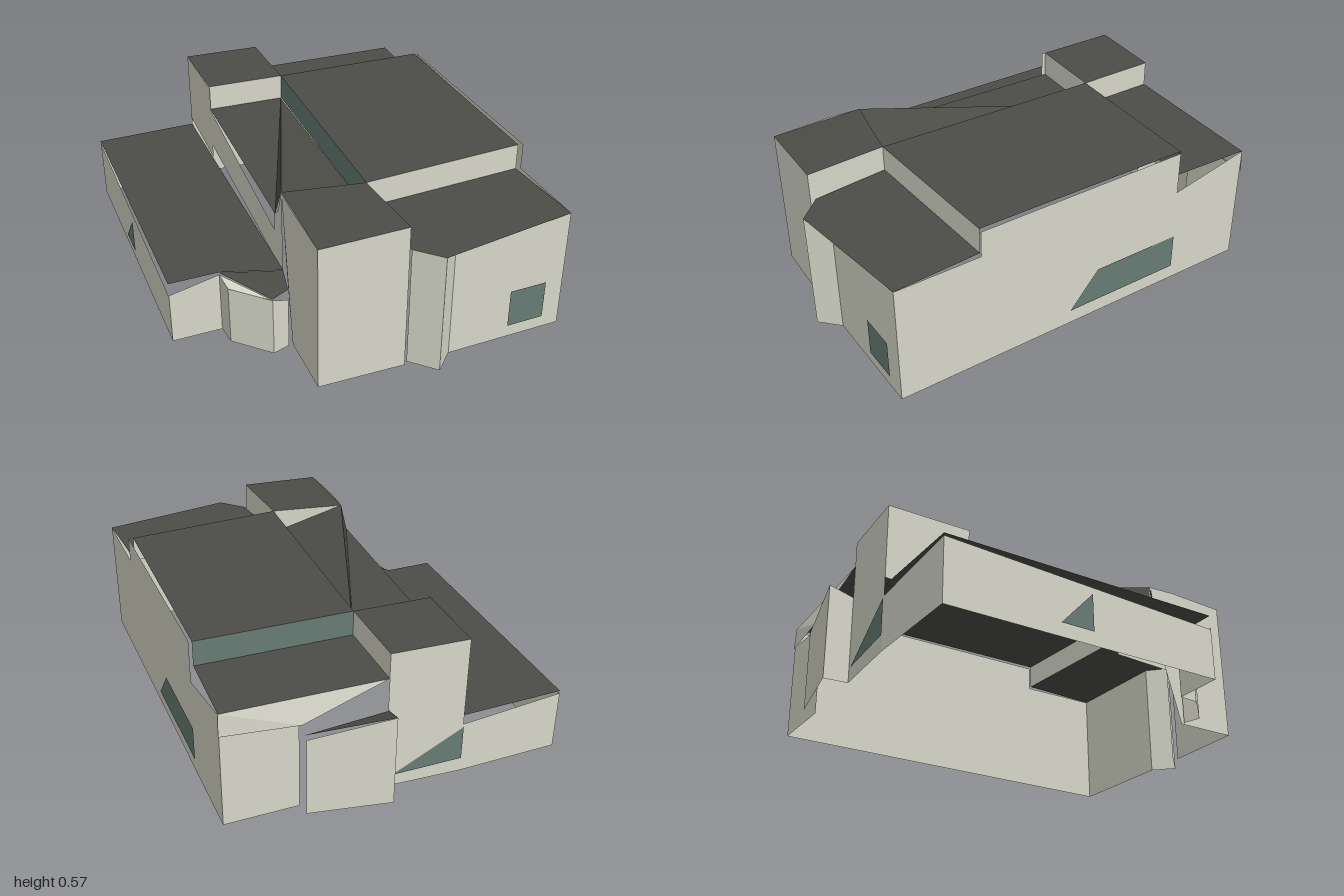
import * as THREE from 'three';

export function createModel() {
  const house = new THREE.Group();
  house.name = 'house';
  const material = (name, color) => {
    const m = new THREE.MeshStandardMaterial({ color, side: THREE.DoubleSide });
    m.name = name;
    return m;
  };
  const wallMat = material('pale wall', 0xd6d7c8);
  const roofMat = material('dark roof', 0x4c4c47);
  const glassMat = material('green glass', 0x687b74);

  const add = (name, geometry, mat) => {
    const mesh = new THREE.Mesh(geometry, mat);
    mesh.name = name;
    house.add(mesh);
  };

  // Upright panel between plan points a and b; outline is [fraction along, height]
  const panel = (name, a, b, outline, mat = wallMat, offset = 0, holes = []) => {
    const toPoints = (list) => list.map(([t, y]) => new THREE.Vector2(t, y));
    const shape = new THREE.Shape(toPoints(outline));
    holes.forEach((h) => shape.holes.push(new THREE.Path(toPoints(h))));
    const g = new THREE.ShapeGeometry(shape);
    const dx = b[0] - a[0], dz = b[1] - a[1], len = Math.hypot(dx, dz);
    const p = g.attributes.position;
    for (let i = 0; i < p.count; i++) {
      const t = p.getX(i);
      p.setXYZ(i, a[0] + dx * t - (dz / len) * offset, p.getY(i), a[1] + dz * t + (dx / len) * offset);
    }
    g.computeVertexNormals();
    add(name, g, mat);
  };
  const band = (name, a, b, y0, y1, mat, y2 = y1) =>
    panel(name, a, b, [[0, y0], [1, y0], [1, y2], [0, y1]], mat);

  // Convex face through 3D corners
  const face = (name, corners, mat = roofMat) => {
    const pos = [];
    for (let i = 1; i < corners.length - 1; i++) pos.push(...corners[0], ...corners[i + 1], ...corners[i]);
    const g = new THREE.BufferGeometry();
    g.setAttribute('position', new THREE.Float32BufferAttribute(pos, 3));
    g.computeVertexNormals();
    add(name, g, mat);
  };
  const flat = (name, y, plan) => face(name, plan.map(([x, z]) => [x, y, z]));

  const HIGH = 0.57, MID = 0.47, LOW = 0.25;
  // Plan corners
  const west = [-1, 0.07], south = [-0.23, 0.84], north = [-0.06, -0.84], east = [1, 0.2];
  const cubeW = [-0.72, -0.22], cubeS = [-0.5, 0], cubeE = [-0.28, -0.205], cubeN = [-0.5, -0.42];
  const stepN = [0.15, -0.62], stepE = [0.75, -0.02], hub = [0.34, 0.44];
  const towerW = [0.1, 0.61], towerS = [0.34, 0.86], towerE = [0.57, 0.64];
  const bayA = [0.57, 0.62], bayB = [0.69, 0.62], bayC = [0.69, 0.52];
  const porchA = [-0.1, 0.71], porchB = [-0.04, 0.76], porchC = [0.13, 0.76], porchD = [0.16, 0.7];

  // Roofs
  flat('mainRoof', HIGH, [stepN, stepE, hub, cubeE]);
  flat('cubeRoof', HIGH, [cubeW, cubeN, cubeE, cubeS]);
  face('towerRoof', [[0.1, HIGH, 0.61], [0.34, HIGH, 0.44], [0.57, HIGH, 0.64], [0.34, 0.56, 0.86]]);
  flat('backRoof', MID, [north, stepN, cubeE, cubeN]);
  flat('sideRoof', MID, [hub, stepE, east, bayB, bayA]);
  flat('wingRoof', LOW, [west, cubeW, towerW, porchA, south]);

  // Folded valley roof with a raised ridge
  flat('valleyRoof', MID, [cubeS, cubeE, [0.07, 0.6]]);
  face('valleyRidge', [[-0.28, MID, -0.2], [0.1, HIGH, 0.61], [0.07, MID, 0.6]]);
  face('valleySlope', [[-0.28, MID, -0.2], [0.34, MID, 0.44], [0.1, HIGH, 0.61]]);

  // Clerestory glass and short walls where roof levels change
  band('clerestoryFront', cubeE, hub, MID, HIGH, glassMat);
  band('clerestoryBack', cubeE, stepN, MID, HIGH, glassMat);
  band('roofStepWall', hub, stepE, MID, HIGH, wallMat);
  band('cubeFrontWall', cubeS, cubeE, MID, HIGH, wallMat);
  band('cubeInnerWall', cubeN, cubeE, MID, HIGH, wallMat);

  // Long outer wall with stepped top
  panel('longWall', east, north, [[0, 0], [1, 0], [1, MID], [0.79, 0.4], [0.79, HIGH], [0.22, HIGH], [0.22, MID], [0, MID]]);
  panel('longWindow', east, north, [[0.47, 0.06], [0.79, 0.06], [0.79, 0.2], [0.55, 0.2]], glassMat, 0.004);

  // Back walls and wedge
  const backMid = [-0.28, -0.65], wedge = [-0.56, -0.49];
  band('backWall', north, [-0.26, -0.64], 0, 0.39, wallMat, 0.37);
  face('backUpperWall', [[-0.06, MID, -0.84], [-0.06, 0.38, -0.845], [-0.28, 0.37, -0.66], [-0.5, MID, -0.42]], wallMat);
  band('wedgeWall', [-0.3, -0.67], wedge, 0, 0.32, wallMat, 0.37);
  band('wedgeSide', wedge, cubeN, 0, 0.37, wallMat, 0.34);
  face('wedgeRoof', [[backMid[0], 0.32, backMid[1]], [-0.56, 0.37, -0.49], [-0.5, 0.335, -0.42]]);
  band('cubeBackWall', cubeN, cubeW, 0, HIGH, wallMat);
  panel('cubeBackWindow', cubeN, cubeW, [[0.08, 0.05], [1, 0.06], [1, 0.2]], glassMat, 0.004);

  // Wall above the low wing: solid at the cube, then a sloping band and pillar
  panel('upperWingWall', cubeW, towerW, [
    [0, 0.28], [0.28, 0.255], [0.28, 0.31], [1, 0.24], [1, HIGH], [0.965, MID],
    [0.93, 0.44], [0.93, 0.37], [0.28, MID], [0.28, HIGH], [0, HIGH]]);

  // Low wing
  band('wingFrontWall', west, south, 0, 0.24, wallMat, 0.195);
  panel('wingWindow', west, south, [[0.4, 0.05], [0.52, 0.05], [0.52, 0.19]], glassMat, 0.004);
  band('wingBackWall', west, cubeW, 0, 0.24, wallMat, 0.21);
  band('wingEndWall', south, porchA, 0, 0.2, wallMat, 0.24);

  // Small porch
  band('porchLeftWall', porchA, porchB, 0, 0.24, wallMat, 0.23);
  band('porchFrontWall', porchB, porchC, 0, 0.23, wallMat);
  band('porchRightWall', porchC, porchD, 0, 0.23, wallMat, 0.2);
  face('porchSill', [[-0.1, 0.24, 0.71], [0.13, 0.232, 0.76], [-0.04, 0.225, 0.76]], wallMat);
  face('porchRoof', [[-0.1, 0.248, 0.71], [0.13, 0.235, 0.76], [0.16, 0.245, 0.7], [0.1, 0.248, 0.61]]);

  // Front tower
  band('towerLeftWall', [0.17, 0.69], towerS, 0, HIGH, wallMat, 0.56);
  face('towerCornerWall', [[0.1, HIGH, 0.61], [0.13, 0.25, 0.64], [0.17, 0, 0.69], [0.17, HIGH, 0.69]], wallMat);
  band('towerFrontWall', towerS, towerE, 0, 0.56, wallMat, HIGH);
  band('towerRightWall', towerE, hub, 0.4, HIGH, wallMat);
  face('towerBackWall', [[0.34, HIGH, 0.44], [0.1, HIGH, 0.61], [0.34, MID, 0.44]], wallMat);

  // Angled bay on the side
  band('bayFrontWall', bayA, bayB, 0, MID, wallMat);
  band('bayReturnWall', bayB, bayC, 0, MID, wallMat);
  band('bayWall', bayC, east, 0, MID, wallMat);
  panel('bayWindow', bayC, east, [[0.52, 0.05], [0.84, 0.05], [0.84, 0.2], [0.52, 0.2]], glassMat, 0.004);

  return house;
}
